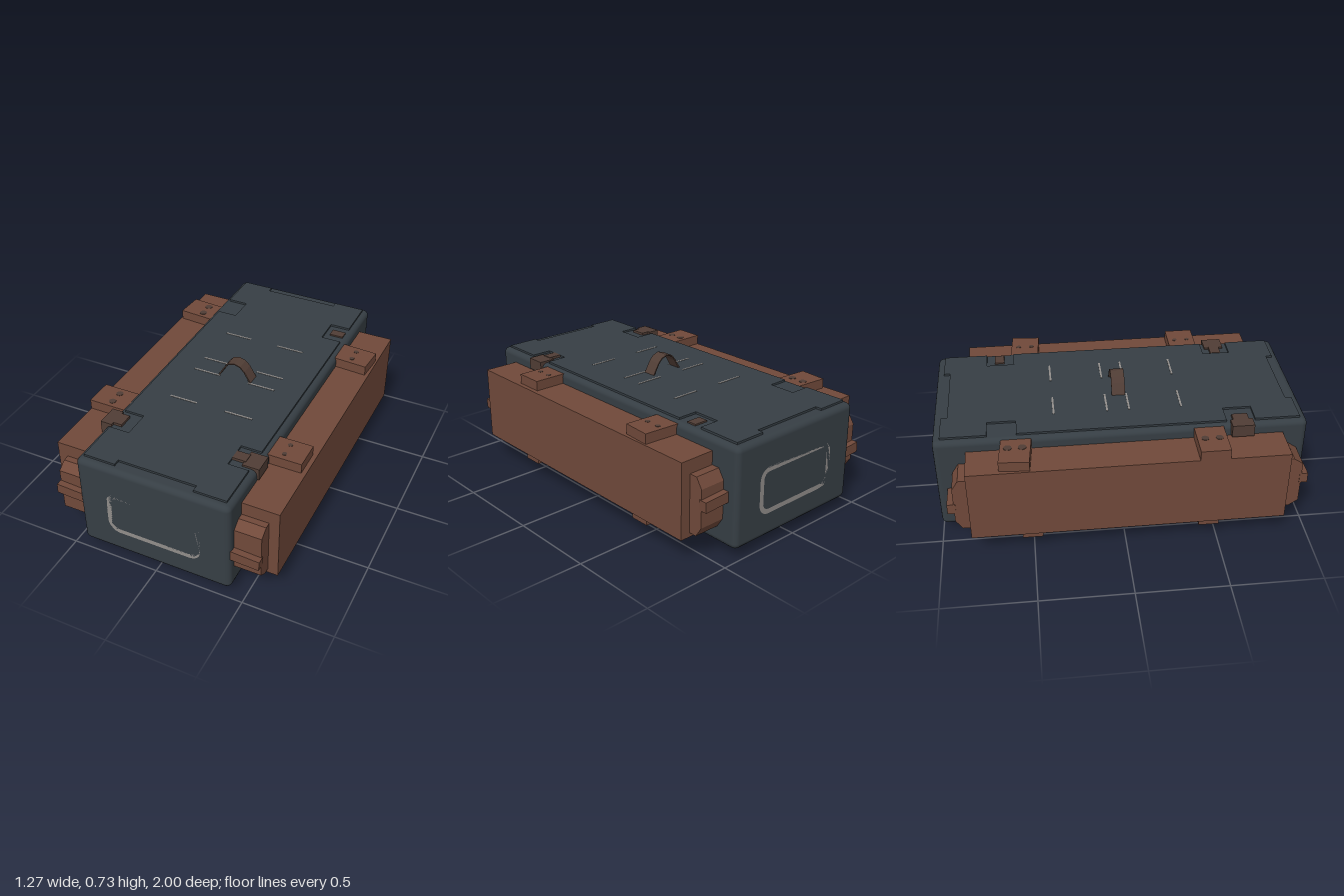
import * as THREE from 'three';
import { RoundedBoxGeometry } from 'three/addons/geometries/RoundedBoxGeometry.js';

const paint = (name, color) => Object.assign(new THREE.MeshStandardMaterial({ color }), { name });

export function createModel() {
  const slate = paint('slate', 0x363e44);
  const leather = paint('leather', 0x70493a);
  const darkLeather = paint('darkLeather', 0x503d35);
  const trim = paint('greyTrim', 0x918d8a);
  const model = new THREE.Group();
  model.name = 'trunk';

  const add = (name, geometry, material, x = 0, y = 0, z = 0) => {
    const mesh = new THREE.Mesh(geometry, material);
    mesh.name = name;
    mesh.position.set(x, y, z);
    model.add(mesh);
    return mesh;
  };
  // Box given by its limits on each axis
  const block = (name, material, [x0, x1], [y0, y1], [z0, z1]) =>
    add(name, new THREE.BoxGeometry(x1 - x0, y1 - y0, z1 - z0), material,
      (x0 + x1) / 2, (y0 + y1) / 2, (z0 + z1) / 2);
  const polygon = pts => new THREE.Shape(pts.map(p => new THREE.Vector2(...p)));
  const extrude = (shape, depth) =>
    new THREE.ExtrudeGeometry(shape, { depth, bevelEnabled: false, curveSegments: 6 });

  // Case body
  add('caseBody', new RoundedBoxGeometry(0.865, 0.555, 2, 2, 0.032), slate, 0, 0.338, 0);

  // Lid plate with end notches and four clasp recesses
  const quarter = [[0.4, 0], [0.4, 0.56], [0.285, 0.56], [0.285, 0.715], [0.4, 0.715],
    [0.4, 0.96], [0.22, 0.96], [0.22, 0.925]];
  const half = [...quarter, ...quarter.slice(1).reverse().map(([x, z]) => [-x, z])];
  const outline = [...half, ...half.map(([x, z]) => [-x, -z])];
  add('lidPlate', extrude(polygon(outline), 0.016).rotateX(Math.PI / 2), slate, 0, 0.627, 0);

  // Fine inlay lines on the lid
  for (const z of [-0.355, -0.065, 0.055, 0.34]) {
    for (const s of [-1, 1]) {
      block('lidInlay', trim, [s * 0.165 - 0.08, s * 0.165 + 0.08], [0.625, 0.629], [z - 0.005, z + 0.005]);
    }
  }

  // Rounded frames on both ends
  const roundedRect = (w, h, r, path) => {
    path.moveTo(w - r, -h);
    path.absarc(w - r, -h + r, r, -Math.PI / 2, 0, false);
    path.absarc(w - r, h - r, r, 0, Math.PI / 2, false);
    path.absarc(-w + r, h - r, r, Math.PI / 2, Math.PI, false);
    path.absarc(-w + r, -h + r, r, Math.PI, Math.PI * 1.5, false);
    path.closePath();
    return path;
  };
  const frame = roundedRect(0.267, 0.13, 0.065, new THREE.Shape());
  frame.holes.push(roundedRect(0.24, 0.104, 0.04, new THREE.Path()));
  for (const s of [-1, 1]) {
    add('endFrame', extrude(frame, 0.005), trim, 0, 0.322, s * 0.9975 - 0.0025);
  }

  // Tapered foot under the case
  const foot = polygon([[-0.27, 0], [0.27, 0], [0.31, 0.02], [0.335, 0.07], [-0.335, 0.07], [-0.31, 0.02]]);
  add('foot', extrude(foot, 0.235), slate, 0, 0, -0.105);

  // Arched carry handle
  const arch = [[-0.104, 0.62], [-0.065, 0.685], [-0.042, 0.714], [0, 0.727],
    [0.035, 0.716], [0.062, 0.69], [0.104, 0.62]];
  const inner = arch.map(([x, y]) => [x * 0.94, y - 0.006]).reverse();
  add('carryHandle', extrude(polygon([...arch, ...inner]), 0.075), darkLeather, 0, 0, -0.025);

  // Side pouches with chamfered end caps and bottom straps
  const cap = polygon([[-0.91, 0.21], [-0.91, 0.42], [-0.875, 0.475], [-0.8, 0.475], [0.84, 0.475],
    [0.9, 0.475], [0.95, 0.44], [0.95, 0.19], [0.9, 0.155], [-0.875, 0.155]]);
  const capGeometry = extrude(cap, 0.17).rotateY(-Math.PI / 2);
  for (const s of [-1, 1]) {
    const span = (a, b) => (s > 0 ? [a, b] : [-b, -a]);
    block('sidePouch', leather, span(0.42, 0.635), [0.13, 0.55], [-0.83, 0.865]);
    add('pouchEndCaps', capGeometry, leather, s > 0 ? 0.58 : -0.41, 0, 0);
    for (const [z0, z1] of [[0.395, 0.505], [-0.56, -0.45]]) {
      block('bottomStrap', leather, span(0.41, 0.622), [0.095, 0.15], [z0, z1]);
    }
    // Slightly tilted straps across the pouch ends
    const front = block('frontEndStrap', leather, span(0.415, 0.583), [0, 0.058], [0.94, 0.985]);
    front.position.y = s > 0 ? 0.29 : 0.34;
    const back = block('backEndStrap', leather, span(0.415, 0.583), [0, 0.058], [-0.945, -0.9]);
    back.position.y = s > 0 ? 0.34 : 0.29;
    front.rotation.z = back.rotation.z = -0.05;
  }

  // Top straps with pairs of holes: x limits, z centre, tilt, hole x, hole radius
  const straps = [
    [0.39, 0.61, 0.462, 0, 0.5, 0.013],
    [0.4, 0.62, -0.49, -0.07, 0.515, 0.014],
    [-0.635, -0.4, 0.46, 0, -0.52, 0.02],
    [-0.62, -0.4, -0.57, -0.08, -0.495, 0.022],
  ];
  for (const [x0, x1, z, tilt, hx, r] of straps) {
    const strap = block('topStrap', leather, [x0, x1], [0.54, 0.606], [z - 0.08, z + 0.08]);
    strap.rotation.y = tilt;
    for (const d of [-0.038, 0.038]) {
      add('strapHole', new THREE.CylinderGeometry(r, r, 0.004, 12), darkLeather, hx, 0.606, z + d);
    }
  }

  // Lid clasps
  block('leftClasp', darkLeather, [0.35, 0.445], [0.56, 0.626], [0.58, 0.69]);
  block('leftClaspTongue', darkLeather, [0.285, 0.36], [0.6, 0.63], [0.605, 0.665]);
  block('rightClasp', darkLeather, [-0.465, -0.4], [0.56, 0.63], [0.58, 0.7]);
  block('rightClaspTongue', darkLeather, [-0.41, -0.35], [0.6, 0.63], [0.595, 0.68]);
  block('backClaspTongue', darkLeather, [0.315, 0.395], [0.6, 0.624], [-0.67, -0.615]);

  return model;
}
